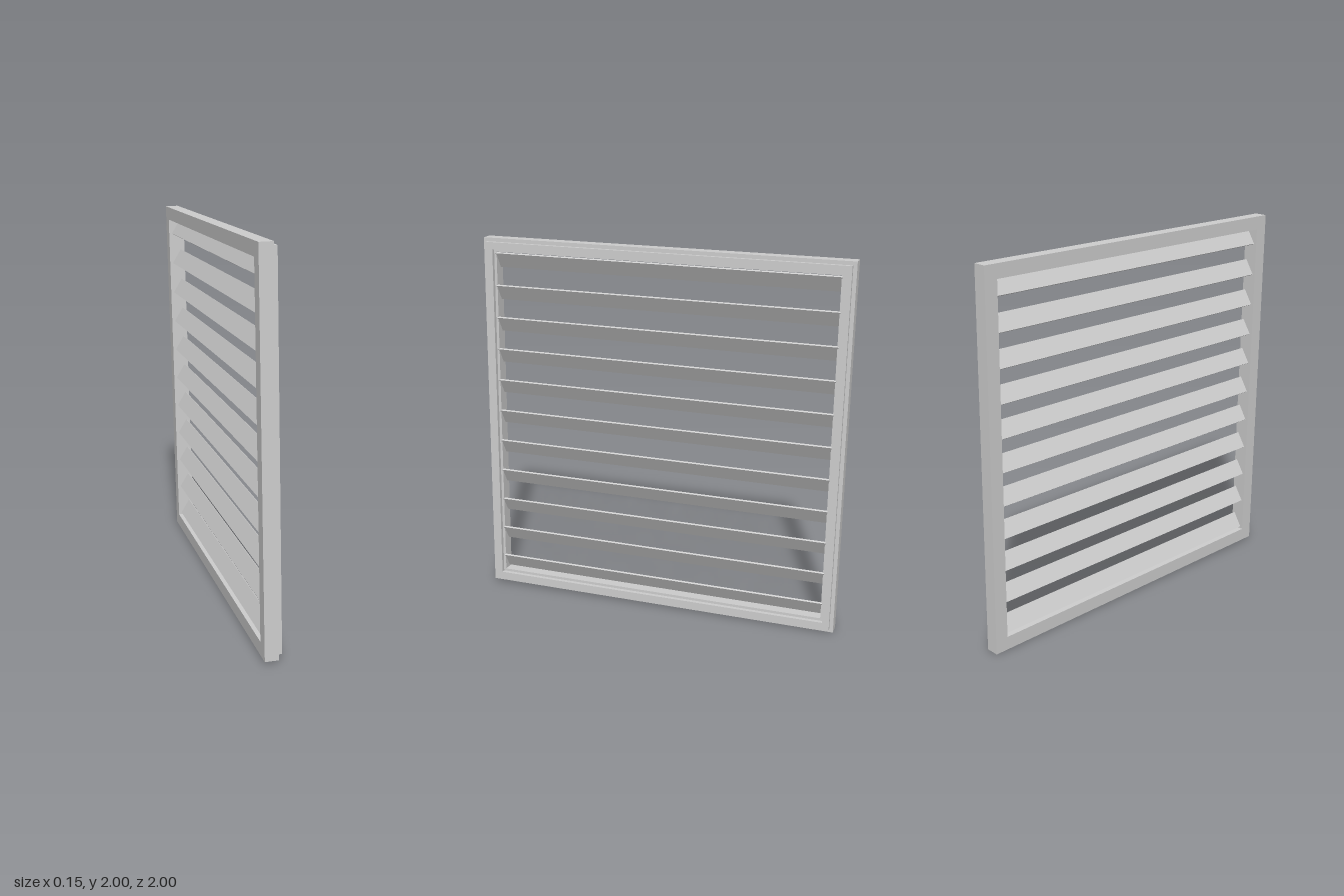
import * as THREE from 'three';

const material = new THREE.MeshStandardMaterial({ color: 0xcccccc, flatShading: true });

// Square ring in the YZ plane, spanning x0..x1
function ring(name, outer, inner, x0, x1) {
  const square = (Path, h) => {
    const p = new Path();
    p.moveTo(-h, -h);
    p.lineTo(h, -h);
    p.lineTo(h, h);
    p.lineTo(-h, h);
    p.closePath();
    return p;
  };
  const shape = square(THREE.Shape, outer);
  shape.holes.push(square(THREE.Path, inner));
  const geometry = new THREE.ExtrudeGeometry(shape, { depth: x1 - x0, bevelEnabled: false });
  geometry.rotateY(Math.PI / 2).translate(x0, 0, 0);
  const mesh = new THREE.Mesh(geometry, material);
  mesh.name = name;
  return mesh;
}

export function createModel() {
  const model = new THREE.Group();
  model.name = 'louverPanel';

  // Outer frame and the stepped lip on its +x face
  model.add(ring('frame', 0.992, 0.92, -0.045, 0.025));
  model.add(ring('frameLip', 0.972, 0.934, 0.025, 0.047));

  // Slanted slats, upper edge towards +x
  const count = 11, pitch = 0.1745, rise = 0.08, run = 0.05;
  const slatGeometry = new THREE.BoxGeometry(0.01, Math.hypot(rise, run), 1.85);
  const slats = new THREE.Group();
  slats.name = 'slats';
  for (let i = 0; i < count; i++) {
    const slat = new THREE.Mesh(slatGeometry, material);
    slat.name = 'slat';
    slat.position.set(0, (i - (count - 1) / 2) * pitch + 0.002, 0);
    slat.rotation.z = -Math.atan2(run, rise);
    slats.add(slat);
  }
  model.add(slats);

  // The whole panel leans slightly
  model.rotation.set(-0.0065, -0.0065, 0.0235);
  model.position.y = 1;

  const root = new THREE.Group();
  root.name = 'model';
  root.add(model);
  return root;
}
